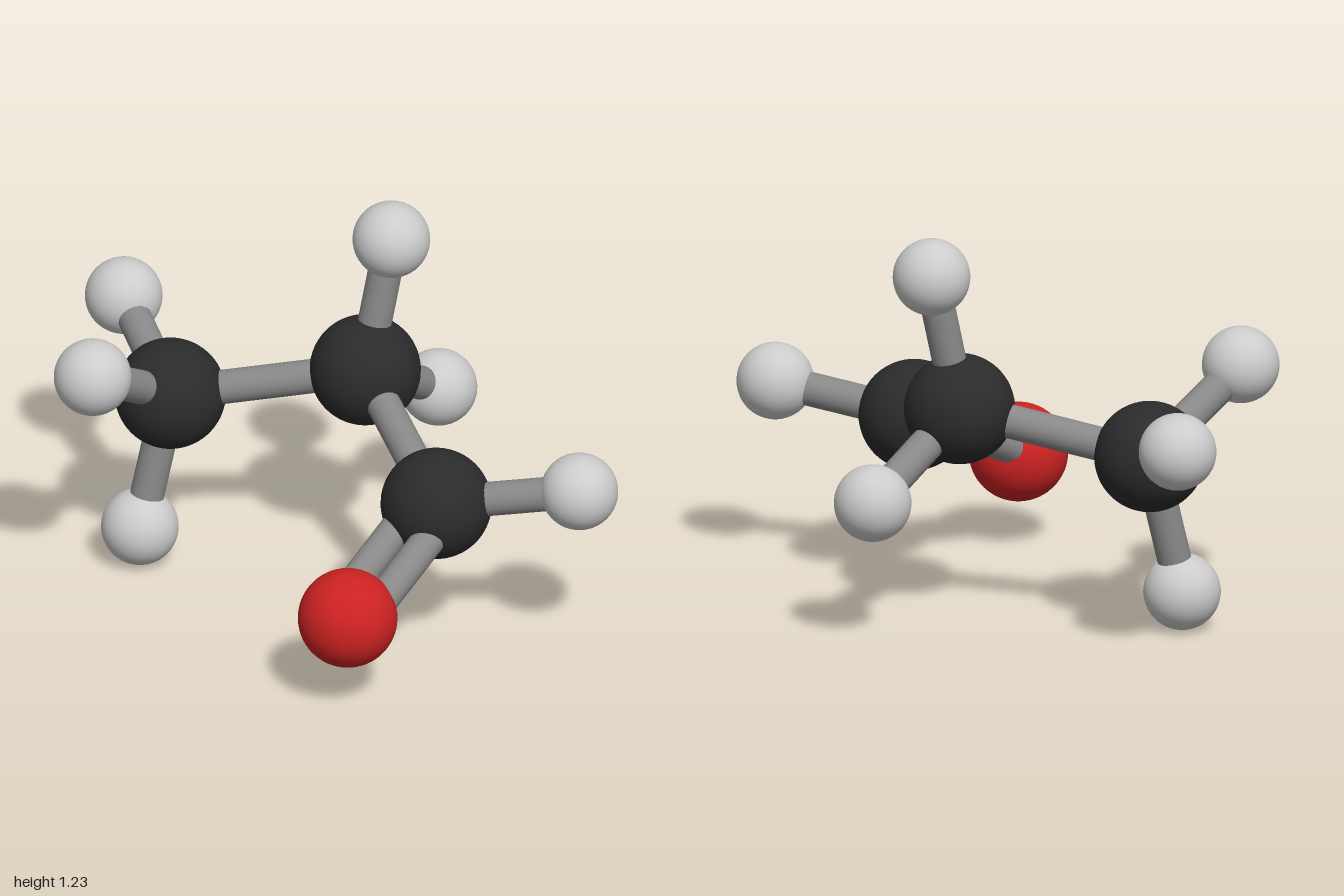
import * as THREE from 'three';

const material = (color) => new THREE.MeshStandardMaterial({ color });

export function createModel() {
  const model = new THREE.Group();
  model.name = 'molecule';

  // Kinds of atom: radius and colour
  const kinds = {
    carbon: { radius: 0.172, mat: material(0x2b2b2b) },
    hydrogen: { radius: 0.12, mat: material(0xcccccc) },
    oxygen: { radius: 0.154, mat: material(0xcc2222) },
  };
  for (const kind of Object.values(kinds)) kind.geo = new THREE.SphereGeometry(kind.radius, 48, 32);
  const bondMat = material(0x888888);

  // Atoms: kind and centre
  const atoms = {
    methylCarbon: ['carbon', -0.5, 0.56, 0.18],
    middleCarbon: ['carbon', -0.02, 0.674, -0.188],
    aldehydeCarbon: ['carbon', 0.515, 0.497, 0.062],
    oxygen: ['oxygen', 0.565, 0.29, 0.515],
    methylHydrogenOuter: ['hydrogen', -0.88, 0.69, -0.015],
    methylHydrogenFront: ['hydrogen', -0.463, 0.78, 0.57],
    methylHydrogenLower: ['hydrogen', -0.537, 0.12, 0.278],
    middleHydrogenTop: ['hydrogen', 0.007, 1.105, -0.277],
    middleHydrogenBack: ['hydrogen', -0.07, 0.448, -0.572],
    aldehydeHydrogen: ['hydrogen', 0.88, 0.572, -0.195],
  };
  const centre = (name) => new THREE.Vector3(...atoms[name].slice(1));

  for (const [name, [kind]] of Object.entries(atoms)) {
    const atom = new THREE.Mesh(kinds[kind].geo, kinds[kind].mat);
    atom.name = name;
    atom.position.copy(centre(name));
    model.add(atom);
  }

  // A round rod between two points
  const up = new THREE.Vector3(0, 1, 0);
  function addRod(name, a, b, radius) {
    const dir = b.clone().sub(a);
    const rod = new THREE.Mesh(new THREE.CylinderGeometry(radius, radius, dir.length(), 32), bondMat);
    rod.name = name;
    rod.position.copy(a).lerp(b, 0.5);
    rod.quaternion.setFromUnitVectors(up, dir.normalize());
    model.add(rod);
  }

  // Single bonds
  const bonds = [
    ['methylCarbon', 'middleCarbon'],
    ['middleCarbon', 'aldehydeCarbon'],
    ['methylCarbon', 'methylHydrogenOuter'],
    ['methylCarbon', 'methylHydrogenFront'],
    ['methylCarbon', 'methylHydrogenLower'],
    ['middleCarbon', 'middleHydrogenTop'],
    ['middleCarbon', 'middleHydrogenBack'],
    ['aldehydeCarbon', 'aldehydeHydrogen'],
  ];
  for (const [a, b] of bonds) addRod(`bond ${a} to ${b}`, centre(a), centre(b), 0.053);

  // Double bond: two parallel rods side by side
  const from = centre('aldehydeCarbon');
  const to = centre('oxygen');
  const side = to.clone().sub(from).cross(up).normalize();
  for (const s of [-1, 1]) {
    const shift = side.clone().multiplyScalar(s * 0.062);
    addRod(s < 0 ? 'doubleBondLeft' : 'doubleBondRight', from.clone().add(shift), to.clone().add(shift), 0.051);
  }

  return model;
}
